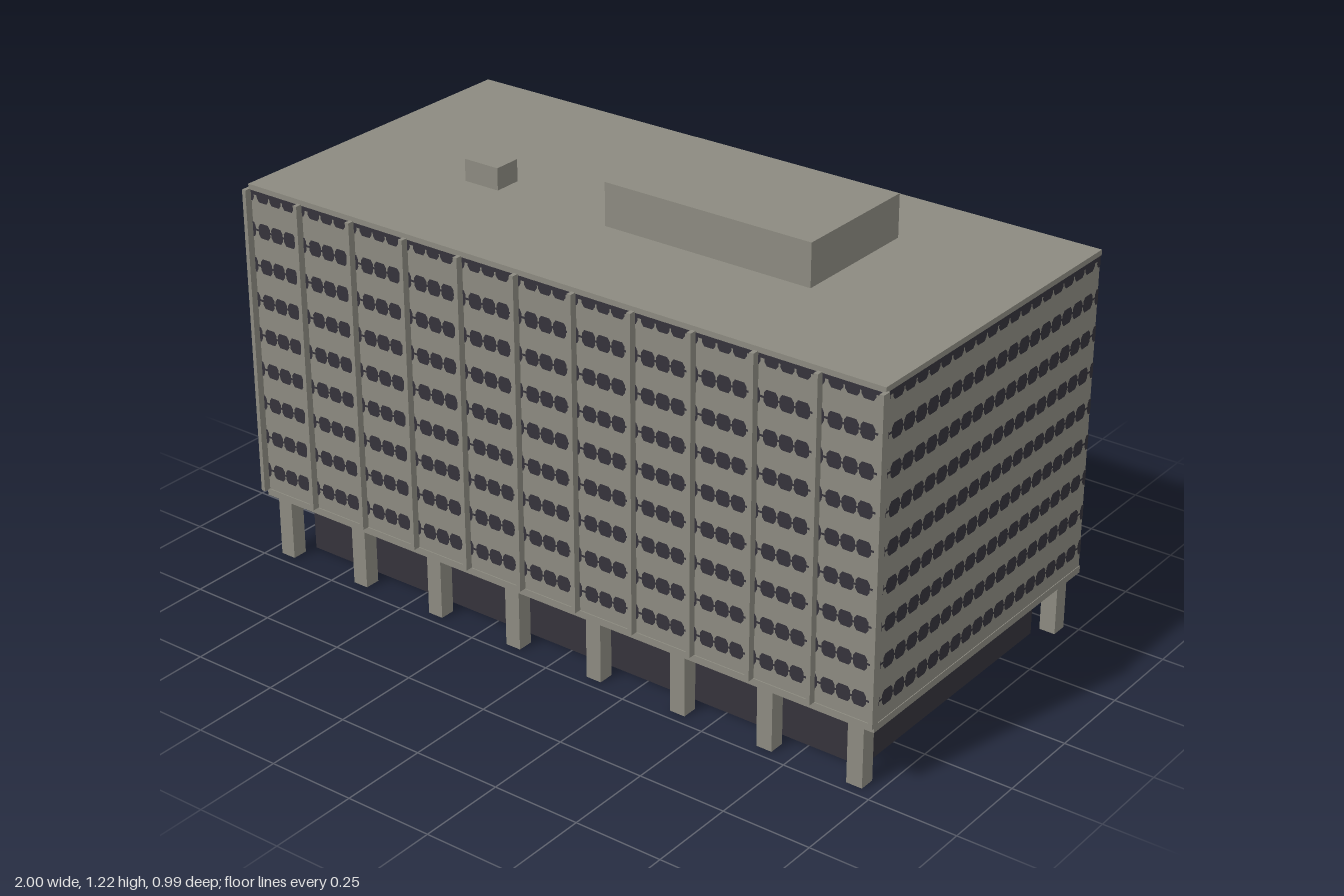
import * as THREE from 'three';

const concrete = new THREE.MeshStandardMaterial({ color: 0x8c8a80, side: THREE.DoubleSide });
concrete.name = 'concrete';
const glass = new THREE.MeshStandardMaterial({ color: 0x35333b, side: THREE.DoubleSide });
glass.name = 'darkGlass';

const HALF_X = 0.992, HALF_Z = 0.482, MID_Z = -0.008; // main walls
const WALL_LOW = 0.195, WALL_TOP = 1.08;
const BAY = 1.988 / 11;

export function createModel() {
  const model = new THREE.Group();
  model.name = 'officeBlock';

  // Box from its extents; open ones lose their top and bottom
  function box(name, [x0, x1], [y0, y1], [z0, z1], material = concrete, open = false) {
    const geo = new THREE.BoxGeometry(x1 - x0, y1 - y0, z1 - z0);
    if (open) {
      const idx = Array.from(geo.index.array);
      geo.setIndex([...idx.slice(0, 12), ...idx.slice(24)]);
      geo.clearGroups();
    }
    const mesh = new THREE.Mesh(geo, material);
    mesh.name = name;
    mesh.position.set((x0 + x1) / 2, (y0 + y1) / 2, (z0 + z1) / 2);
    model.add(mesh);
  }

  // Main block between floor and roof slabs
  box('floorSlab', [-0.994, 0.994], [0.175, WALL_LOW], [-0.493, 0.477]);
  box('walls', [-HALF_X, HALF_X], [WALL_LOW, WALL_TOP], [MID_Z - HALF_Z, MID_Z + HALF_Z], concrete, true);
  box('roofSlab', [-0.994, 0.994], [WALL_TOP, 1.095], [-0.493, 0.477]);

  // Rooftop volumes
  box('penthouse', [-0.08, 0.55], [1.095, 1.215], [-0.25, 0.135]);
  box('roofHatch', [-0.555, -0.445], [1.095, 1.157], [0.04, 0.12]);

  // Recessed ground floor, open below
  box('groundFloorGlazing', [-0.908, 0.908], [0, 0.175], [-0.407, 0.39], glass, true);

  // Columns along front and back
  for (let i = 0; i < 8; i++) {
    const x = -0.938 + i * 0.268;
    box('frontColumn', [x - 0.023, x + 0.023], [0, 0.175], [0.425, 0.47], concrete, true);
    box('backColumn', [x - 0.023, x + 0.023], [0, 0.175], [-0.486, -0.44], concrete, true);
  }

  // Vertical fins on the front
  for (let i = 0; i < 12; i++) {
    const x = -0.994 + i * BAY;
    box('frontFin', [x - 0.006, x + 0.006], [WALL_LOW, 1.083], [0.47, 0.495]);
  }

  // Rows of eight-sided windows joined by narrow strips, cut off at wall ends and roof
  function windowWall(name, half, count, narrowEvery, x, z, turn) {
    const pitch = (2 * half) / count;
    const corners = [[0.29, 0.021], [0.45, 0.011], [0.45, -0.011], [0.29, -0.021],
      [-0.29, -0.021], [-0.45, -0.011], [-0.45, 0.011], [-0.29, 0.021]];
    const shapes = [];
    for (let row = 0; row < 9; row++) {
      const cy = 0.255 + row * 0.102;
      for (let i = 0; i <= count; i++) {
        const cx = -half + i * pitch;
        const w = pitch * (i % narrowEvery === 0 ? 0.7 : 1);
        shapes.push(new THREE.Shape(corners.map(([px, py]) => new THREE.Vector2(
          THREE.MathUtils.clamp(cx + px * w, -half, half),
          Math.min(cy + py, WALL_TOP)))));
      }
      const low = cy - 0.003, high = row === 8 ? WALL_TOP : cy + 0.003;
      shapes.push(new THREE.Shape([[-half, low], [half, low], [half, high], [-half, high]]
        .map(([px, py]) => new THREE.Vector2(px, py))));
    }
    const mesh = new THREE.Mesh(new THREE.ShapeGeometry(shapes), glass);
    mesh.name = name;
    mesh.position.set(x, 0, z);
    mesh.rotation.y = turn;
    model.add(mesh);
  }
  const gap = 0.0015;
  windowWall('frontWindows', HALF_X, 44, 4, 0, MID_Z + HALF_Z + gap, 0);
  windowWall('backWindows', HALF_X, 44, 44, 0, MID_Z - HALF_Z - gap, Math.PI);
  windowWall('leftWindows', HALF_Z, 19, 19, HALF_X + gap, MID_Z, Math.PI / 2);
  windowWall('rightWindows', HALF_Z, 19, 19, -HALF_X - gap, MID_Z, -Math.PI / 2);

  return model;
}
